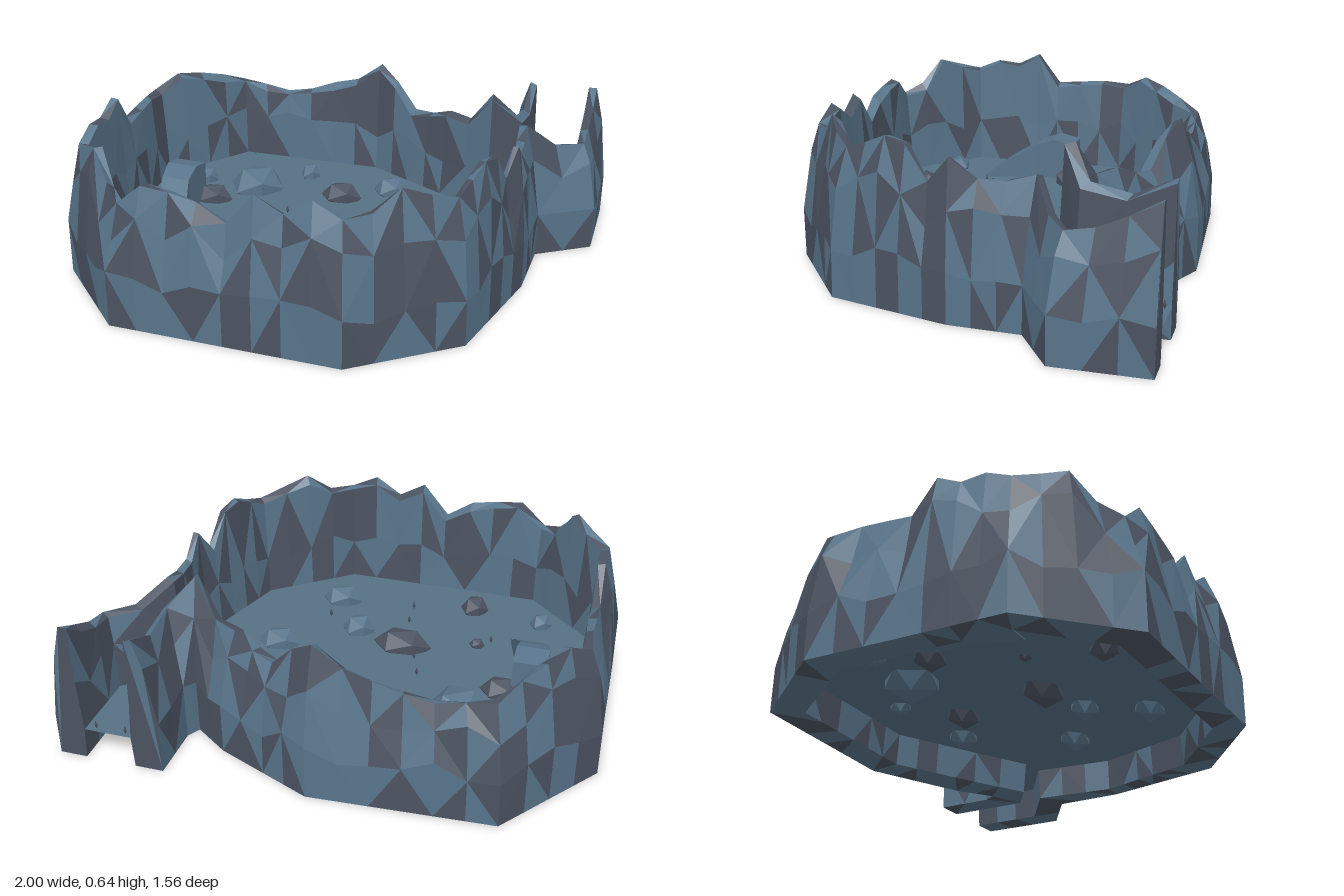
import * as THREE from 'three';

const FLOOR = 0.13;

// Wall plan: outer x, outer z, inner x, inner z, ridge heights up to the next corner
const PLAN = [
  [0.57, -0.78, 0.69, -0.78, [0.57, 0.5]],
  [0.57, -0.55, 0.69, -0.43, [0.53]],
  [0.54, -0.50, 0.56, -0.34, [0.64, 0.5]],
  [0.40, -0.60, 0.33, -0.46, [0.5, 0.46, 0.45, 0.55]],
  [0.01, -0.77, -0.01, -0.63, [0.61, 0.53, 0.5, 0.46, 0.44, 0.46]],
  [-0.70, -0.73, -0.63, -0.61, [0.475, 0.52, 0.55, 0.57]],
  [-1.0, -0.33, -0.87, -0.27, [0.52, 0.53, 0.52]],
  [-0.985, 0.03, -0.865, 0.03, [0.51, 0.64, 0.59, 0.6]],
  [-0.97, 0.45, -0.85, 0.40, [0.56, 0.59, 0.62, 0.52]],
  [-0.63, 0.78, -0.58, 0.65, [0.48, 0.57, 0.56, 0.54, 0.47, 0.6, 0.54, 0.61]],
  [0.29, 0.78, 0.25, 0.65, [0.555, 0.56, 0.64, 0.6]],
  [0.67, 0.49, 0.57, 0.40, [0.57, 0.6, 0.64, 0.62, 0.5]],
  [0.785, 0.0, 0.70, 0.0, [0.6, 0.53, 0.53]],
  [0.79, -0.28, 0.66, -0.33, [0.56, 0.46]],
  [1.0, -0.42, 0.88, -0.48, [0.45, 0.47, 0.52]],
  [0.995, -0.78, 0.88, -0.78, [0.575]],
];

// x, z, half width, half depth, half height, is grey
const ROCKS = [
  [-0.26, -0.45, 0.045, 0.048, 0.05, 0], [-0.68, -0.27, 0.045, 0.045, 0.05, 0],
  [-0.445, -0.27, 0.12, 0.12, 0.09, 0], [-0.06, -0.28, 0.09, 0.065, 0.065, 1],
  [0.13, -0.40, 0.077, 0.064, 0.065, 0], [0.38, 0.0, 0.092, 0.064, 0.065, 0],
  [-0.58, -0.10, 0.085, 0.062, 0.06, 1], [-0.12, 0.12, 0.125, 0.08, 0.07, 1],
  [0.09, 0.19, 0.072, 0.062, 0.065, 0], [0.23, 0.41, 0.09, 0.064, 0.065, 0],
  [-0.35, 0.49, 0.062, 0.062, 0.06, 1], [-0.65, 0.44, 0.048, 0.046, 0.05, 0],
  [-0.42, 0.205, 0.033, 0.026, 0.028, 1],
];

const PEBBLES = [[0.23, -0.24], [0.27, -0.13], [-0.23, -0.07], [-0.19, 0.04],
  [0.24, 0.27], [-0.10, 0.31], [-0.09, 0.43], [-0.47, 0.25], [0.72, -0.76], [0.84, -0.76]];

function seeded(seed) {
  return () => {
    seed = (seed * 16807) % 2147483647;
    return seed / 2147483647;
  };
}

// Flat-faced geometry from triangle lists, one material group per list
function facetGeometry(lists) {
  const geo = new THREE.BufferGeometry();
  const all = lists.flat();
  geo.setAttribute('position', new THREE.Float32BufferAttribute(all.flatMap(p => [p.x, p.y, p.z]), 3));
  let start = 0;
  lists.forEach((list, i) => {
    geo.addGroup(start, list.length, i);
    start += list.length;
  });
  geo.computeVertexNormals();
  return geo;
}

// Skin closed cross-sections in order, with caps at both ends
function skin(sections, addTriangle) {
  const n = sections[0].length;
  for (let i = 0; i < sections.length - 1; i++) {
    for (let j = 0; j < n; j++) {
      const k = (j + 1) % n;
      const a = sections[i][j], b = sections[i + 1][j];
      const c = sections[i + 1][k], d = sections[i][k];
      if ((i + j) % 2) {
        addTriangle(a, b, c);
        addTriangle(a, c, d);
      } else {
        addTriangle(a, b, d);
        addTriangle(b, c, d);
      }
    }
  }
  const first = sections[0], last = sections[sections.length - 1];
  for (let j = 1; j < n - 1; j++) {
    addTriangle(first[0], first[j], first[j + 1]);
    addTriangle(last[0], last[j + 1], last[j]);
  }
}

function wallSections(rand) {
  const sections = [];
  PLAN.forEach((corner, i) => {
    const next = PLAN[Math.min(i + 1, PLAN.length - 1)];
    const heights = corner[4];
    heights.forEach((h, s) => {
      const f = s / heights.length;
      const [ox, oz, ix, iz] = [0, 1, 2, 3].map(k => corner[k] + (next[k] - corner[k]) * f);
      const point = (t, y) => new THREE.Vector3(ox + (ix - ox) * t, y, oz + (iz - oz) * t);
      const j = amount => (rand() - 0.5) * amount;
      sections.push([
        point(0, 0),
        point(0.01 + j(0.06), 0.2 + j(0.08)),
        point(0.3 + j(0.14), h * 0.76 + j(0.1)),
        point(0.58 + j(0.1), h),
        point(0.85 + j(0.06), h - 0.015 + j(0.03)),
        point(0.93 + j(0.05), 0.31 + j(0.08)),
        point(1, FLOOR),
        point(0.94, 0),
      ]);
    });
  });
  return sections;
}

export function createModel() {
  const group = new THREE.Group();
  const blue = new THREE.MeshStandardMaterial({ color: 0x58748a });
  const grey = new THREE.MeshStandardMaterial({ color: 0x4b5361 });
  const ground = new THREE.MeshStandardMaterial({ color: 0x567084, side: THREE.DoubleSide });
  blue.name = 'blue stone';
  grey.name = 'grey stone';
  ground.name = 'floor stone';

  const add = (name, geo, mat) => {
    const mesh = new THREE.Mesh(geo, mat);
    mesh.name = name;
    group.add(mesh);
    return mesh;
  };

  // Jagged cave wall with mixed stone facets
  const rand = seeded(4711);
  const lists = [[], []];
  skin(wallSections(rand), (a, b, c) => lists[rand() < 0.54 ? 0 : 1].push(a, b, c));
  add('caveWall', facetGeometry(lists), [blue, grey]);

  // Floor filling the chamber and its passage
  const outline = new THREE.Shape(PLAN.map(p => new THREE.Vector2(p[2], -p[3])));
  const floor = add('floor', new THREE.ShapeGeometry(outline).rotateX(-Math.PI / 2), ground);
  floor.position.y = FLOOR;

  // Curved ramp: left x, right x, z, top height
  const ramp = [[-0.75, -0.62, -0.11, 0.29], [-0.75, -0.62, -0.02, 0.31],
    [-0.74, -0.62, 0.06, 0.28], [-0.70, -0.58, 0.18, 0.21], [-0.65, -0.55, 0.28, FLOOR + 0.01]];
  const rampSections = ramp.map(([l, r, z, y]) => [
    new THREE.Vector3(l, FLOOR - 0.005, z), new THREE.Vector3(l, y, z),
    new THREE.Vector3(r, y, z), new THREE.Vector3(r, FLOOR - 0.005, z)]);
  const rampTriangles = [];
  skin(rampSections, (a, b, c) => rampTriangles.push(a, b, c));
  add('ramp', facetGeometry([rampTriangles]), [blue]);

  // Boulders half sunk in the floor, pointed along their length
  const boulder = new THREE.IcosahedronGeometry(1, 0).rotateY(0.5536);
  ROCKS.forEach(([x, z, w, d, h, isGrey]) => {
    const rock = add('boulder', boulder, isGrey ? grey : blue);
    rock.scale.set(w, h, d);
    rock.position.set(x, FLOOR + 0.01, z);
  });

  // Tiny upright shards
  const shard = new THREE.OctahedronGeometry(1, 0);
  PEBBLES.forEach(([x, z]) => {
    const pebble = add('shard', shard, grey);
    pebble.scale.set(0.007, 0.02, 0.007);
    pebble.position.set(x, FLOOR + 0.015, z);
  });

  return group;
}
